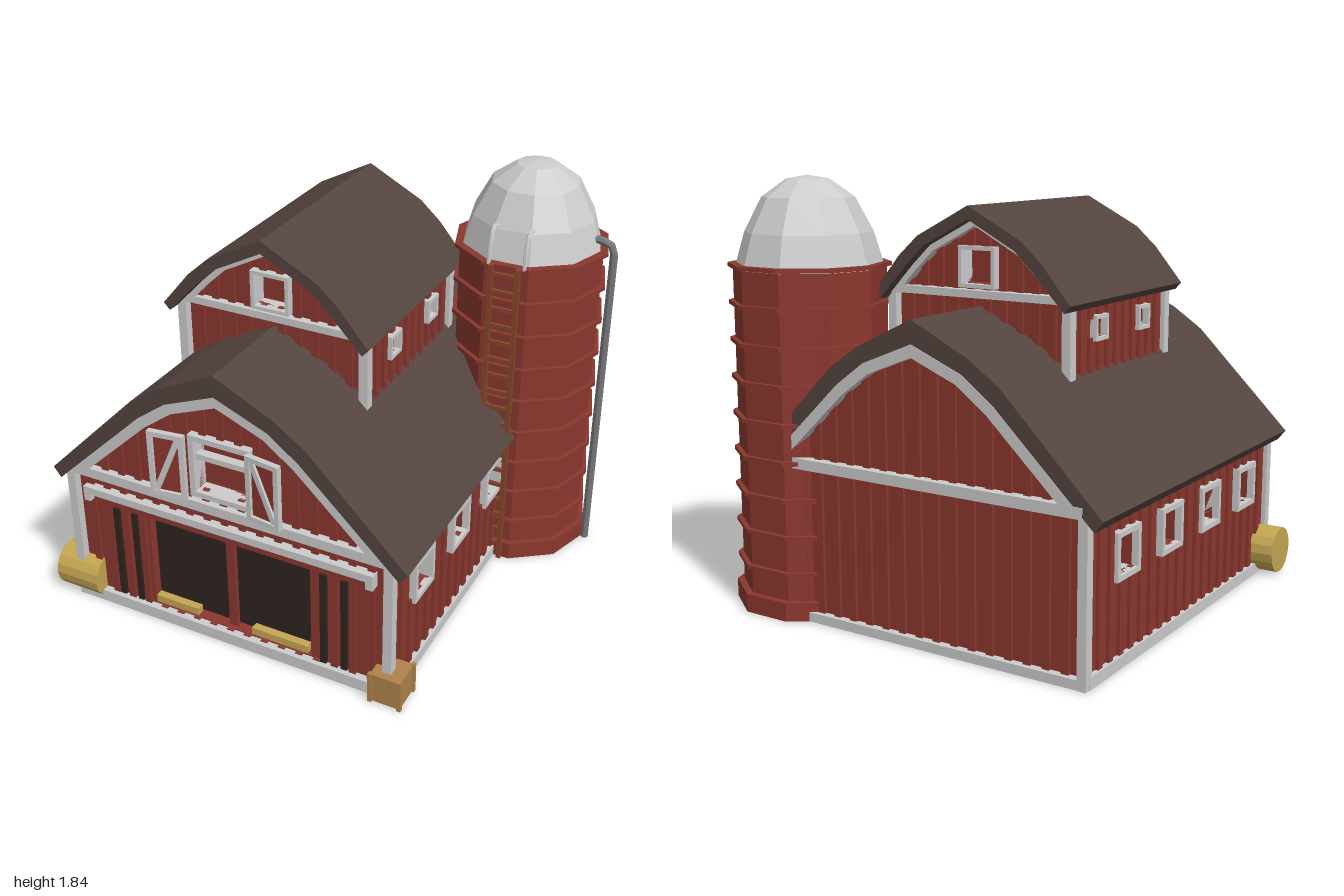
import * as THREE from 'three';

const mat = (color) => new THREE.MeshStandardMaterial({ color, flatShading: true, side: THREE.DoubleSide });
const RED = mat(0x8a372e), ROOF = mat(0x54443f), TRIM = mat(0xcccccc), DARK = mat(0x2f241f);
const HAY = mat(0xc4a552), WOOD = mat(0xb0824c), RUST = mat(0x85452b), PIPE = mat(0x77777a);

function add(parent, name, geo, material, x = 0, y = 0, z = 0) {
  const m = new THREE.Mesh(geo, material);
  m.name = name;
  m.position.set(x, y, z);
  parent.add(m);
  return m;
}

function group(parent, name) {
  const g = new THREE.Group();
  g.name = name;
  parent.add(g);
  return g;
}

// box given by its limits
const box = (parent, name, material, x0, x1, y0, y1, z0, z1) =>
  add(parent, name, new THREE.BoxGeometry(x1 - x0, y1 - y0, z1 - z0), material,
    (x0 + x1) / 2, (y0 + y1) / 2, (z0 + z1) / 2);

const rectPts = ([x0, x1, y0, y1]) => [[x0, y0], [x1, y0], [x1, y1], [x0, y1]];
const vecs = (pts) => pts.map(([x, y]) => new THREE.Vector2(x, y));

// flat outline with rectangular holes, extruded from z0 to z1
function slab(parent, name, material, pts, z0, z1, holes = []) {
  const shape = new THREE.Shape(vecs(pts));
  holes.forEach((h) => shape.holes.push(new THREE.Path(vecs(rectPts(h)))));
  return add(parent, name, new THREE.ExtrudeGeometry(shape, { depth: z1 - z0, bevelEnabled: false }), material, 0, 0, z0);
}

// half profile (centre outwards) made into a full line from left to right
const mirrorLine = (half) => [...half.slice(1).reverse().map(([x, y]) => [-x, y]), ...half];

function heightAt(profile, x) {
  const a = Math.abs(x);
  const i = Math.max(1, profile.findIndex((p) => p[0] >= a));
  const [p, q] = [profile[i - 1], profile[i]];
  return p[1] + (q[1] - p[1]) * (a - p[0]) / (q[0] - p[0]);
}

// raised vertical boards, interrupted by openings
function battens(parent, half, y0, top, z, step, holes) {
  const n = Math.round(2 * half / step);
  for (let i = 1; i < n; i++) {
    const x = -half + (2 * half * i) / n;
    let y = y0;
    const cuts = holes.filter((h) => x > h[0] - 0.03 && x < h[1] + 0.03).sort((a, b) => a[2] - b[2]);
    for (const [a, b] of [...cuts.map((h) => [h[2], h[3]]), [top(x), 0]]) {
      if (a - y > 0.02) box(parent, 'batten', RED, x - 0.016, x + 0.016, y, a, z - 0.01, z + 0.014);
      y = b;
    }
  }
}

function windowFrame(parent, [x0, x1, y0, y1], z, w) {
  slab(parent, 'windowFrame', TRIM, rectPts([x0 - w, x1 + w, y0 - w, y1 + w]), z - 0.05, z + 0.03, [[x0, x1, y0, y1]]);
}

// gambrel-roofed block: core, four faced walls, trim and roof
function block(parent, name, p) {
  const g = group(parent, name);
  const { hw, zw, y0, beam, inner, outer, trim } = p;
  const eave = heightAt(inner, hw);
  const gable = [...inner.filter((q) => q[0] < hw), [hw, eave]];
  const outline = (w) => [[-w, y0], ...mirrorLine([...inner.filter((q) => q[0] < w), [w, heightAt(inner, w)]]), [w, y0]];
  slab(g, 'core', RED, outline(hw - 0.05), -zw + 0.05, zw - 0.05);

  // gable ends
  for (const end of [1, -1]) {
    const f = group(g, end > 0 ? 'frontWall' : 'backWall');
    f.rotation.y = end > 0 ? 0 : Math.PI;
    const holes = end > 0 ? p.frontHoles : p.backHoles;
    const t = zw + (end > 0 ? 0.035 : 0.045);
    slab(f, 'wall', RED, outline(hw), zw - 0.05, zw, holes);
    battens(f, hw, y0, (x) => heightAt(inner, x) - 0.02, zw, p.step, holes);
    const low = gable.map(([x, y], i) => i === 0 ? [0, y - trim * 1.15]
      : i === gable.length - 1 ? [x - trim * 1.4, y] : [x - trim * 0.55, y - trim * 0.9]);
    slab(f, 'gableTrim', TRIM, [...mirrorLine(gable), ...mirrorLine(low).reverse()], zw, t);
    box(f, 'crossTrim', TRIM, -hw, hw, beam[0], beam[1], zw, t);
  }

  // long sides, drawn facing out
  for (const s of [1, -1]) {
    const f = group(g, s > 0 ? 'leftWall' : 'rightWall');
    f.rotation.y = s * Math.PI / 2;
    const holes = p.sideWindows.map(([z, hz, a, b]) => [-s * z - hz, -s * z + hz, a, b]);
    slab(f, 'wall', RED, rectPts([-zw, zw, y0, eave]), hw - 0.05, hw, holes);
    battens(f, zw, y0, () => eave, hw, p.step, holes);
    holes.forEach((h) => windowFrame(f, h, hw, p.frame));
    for (const e of [1, -1]) box(g, 'cornerPost', TRIM, s * hw - 0.02, s * hw + 0.02, y0, eave, e * (zw + 0.015) - 0.022, e * (zw + 0.015) + 0.022);
  }
  slab(g, 'roof', ROOF, [...mirrorLine(outer), ...mirrorLine(inner).reverse()], -p.zr, p.zr);
  return g;
}

function buildBarn(root) {
  const barn = group(root, 'barn');
  barn.position.x = -0.135;
  const door = [-0.385, 0.39, 0.06, 0.525], loft = [-0.115, 0.125, 0.75, 0.99];
  const main = block(barn, 'mainBarn', {
    hw: 0.755, zw: 0.83, y0: 0, zr: 0.872, step: 0.085, beam: [0.655, 0.7], trim: 0.045, frame: 0.022,
    outer: [[0, 1.32], [0.26, 1.195], [0.4, 1.1], [0.84, 0.66]],
    inner: [[0, 1.225], [0.235, 1.13], [0.37, 1.03], [0.805, 0.615]],
    frontHoles: [door, loft], backHoles: [],
    sideWindows: [0.57, 0.19, -0.18, -0.555].map((z) => [z, 0.072, 0.38, 0.53]),
  });
  // base boards
  box(main, 'plinth', TRIM, -0.775, 0.775, 0, 0.055, 0.8, 0.865);
  box(main, 'plinth', TRIM, -0.775, 0.775, 0, 0.04, -0.865, -0.8);
  for (const s of [1, -1]) box(main, 'plinth', TRIM, s * 0.76 - 0.018, s * 0.76 + 0.018, 0, 0.05, -0.84, 0.84);

  // doorway with track, posts and hay
  for (const s of [1, -1]) {
    box(main, 'barnDoor', DARK, s * 0.2 - 0.19, s * 0.2 + 0.19, 0.07, 0.52, 0.775, 0.79);
    box(main, 'hayLitter', HAY, s * 0.27 - 0.17, s * 0.27 + 0.1, 0.05, 0.095, 0.79, 0.825);
    for (const x of [0.455, 0.55]) box(main, 'doorGap', DARK, s * x - 0.014, s * x + 0.014, 0.06, 0.515, 0.8, 0.847);
    box(main, 'trackBracket', TRIM, s * 0.675 - 0.016, s * 0.675 + 0.016, 0.535, 0.605, 0.83, 0.872);
  }
  box(main, 'doorPost', RED, -0.02, 0.02, 0.055, 0.51, 0.785, 0.81);
  box(main, 'doorTrack', TRIM, -0.69, 0.69, 0.57, 0.605, 0.83, 0.872);
  box(main, 'doorHeader', RED, -0.65, 0.65, 0.53, 0.565, 0.825, 0.855);

  // loft opening and its swung shutters
  windowFrame(main, loft, 0.835, 0.025);
  box(main, 'loftRail', TRIM, -0.13, 0.13, 0.9, 0.925, 0.81, 0.85);
  for (const s of [1, -1]) {
    const sh = group(main, 'loftShutter');
    sh.position.set(s * 0.145, 0.865, 0.875);
    sh.rotation.y = -s * 0.13;
    const cx = s * 0.08, w = 0.08, h = 0.15;
    slab(sh, 'shutterFrame', TRIM, rectPts([cx - w, cx + w, -h, h]), -0.005, 0.02, [[cx - w + 0.022, cx + w - 0.022, -h + 0.022, h - 0.022]]);
    box(sh, 'shutterPanel', RED, cx - w + 0.01, cx + w - 0.01, -h + 0.01, h - 0.01, -0.004, 0.006);
    const brace = add(sh, 'shutterBrace', new THREE.BoxGeometry(0.024, 0.27, 0.012), TRIM, cx, 0, 0.011);
    brace.rotation.z = s * 0.4;
  }

  // raised upper storey
  const pane = [-0.072, 0.072, 1.41, 1.548];
  block(barn, 'upperStorey', {
    hw: 0.425, zw: 0.395, y0: 0.95, zr: 0.488, step: 0.075, beam: [1.355, 1.387], trim: 0.025, frame: 0.015,
    outer: [[0, 1.73], [0.25, 1.6], [0.345, 1.515], [0.475, 1.36]],
    inner: [[0, 1.675], [0.22, 1.56], [0.31, 1.475], [0.447, 1.33]],
    frontHoles: [pane], backHoles: [pane],
    sideWindows: [0.18, -0.19].map((z) => [z, 0.036, 1.205, 1.28]),
  }).children.filter((c) => /frontWall|backWall/.test(c.name)).forEach((f) => windowFrame(f, pane, 0.4, 0.016));
}

function buildSilo(root) {
  const silo = group(root, 'silo');
  silo.position.set(0.608, 0, -0.585);
  const drum = (name, r, y0, y1, material) => {
    const m = add(silo, name, new THREE.CylinderGeometry(r, r, y1 - y0, 10), material, 0, (y0 + y1) / 2, 0);
    m.rotation.y = Math.PI / 2;
  };
  drum('siloWall', 0.325, 0, 1.455, RED);
  drum('siloBase', 0.355, 0, 0.08, RED);
  for (let i = 0; i < 9; i++) drum('siloBand', 0.346, 0.19 + i * 0.1587, 0.207 + i * 0.1587, RED);
  const profile = [[0.316, 1.455], [0.272, 1.605], [0.195, 1.75], [0.09, 1.825], [0, 1.84]];
  add(silo, 'dome', new THREE.LatheGeometry(vecs(profile), 10), TRIM).rotation.y = Math.PI / 2;

  // drain pipe
  const path = new THREE.CurvePath();
  const v = (x, y) => new THREE.Vector3(x, y, 0);
  path.add(new THREE.LineCurve3(v(0.37, 0), v(0.37, 1.48)));
  path.add(new THREE.QuadraticBezierCurve3(v(0.37, 1.48), v(0.37, 1.53), v(0.28, 1.53)));
  add(silo, 'drainPipe', new THREE.TubeGeometry(path, 40, 0.018, 8), PIPE);

  // ladder with grab rails on the dome
  const ladder = group(silo, 'ladder');
  ladder.position.set(0.005, 0, 0.345);
  for (const s of [1, -1]) {
    box(ladder, 'ladderRail', RUST, s * 0.06 - 0.01, s * 0.06 + 0.01, 0, 1.48, -0.012, 0.012);
    const rail = new THREE.CatmullRomCurve3([[1.47, -0.02], [1.55, -0.03], [1.62, -0.06], [1.62, -0.1]]
      .map(([y, z]) => new THREE.Vector3(s * 0.08, y, z)));
    add(ladder, 'grabRail', new THREE.TubeGeometry(rail, 10, 0.009, 6), TRIM);
  }
  for (let y = 0.08; y < 1.47; y += 0.08) box(ladder, 'rung', RUST, -0.06, 0.06, y - 0.008, y + 0.008, -0.008, 0.008);
}

export function createModel() {
  const root = new THREE.Group();
  root.name = 'farmBarn';
  buildBarn(root);
  buildSilo(root);

  // round bale and crate by the front corners
  add(root, 'hayBale', new THREE.CylinderGeometry(0.105, 0.105, 0.215, 16), HAY, -0.8925, 0.11, 0.8).rotation.z = Math.PI / 2;
  const crate = group(root, 'crate');
  box(crate, 'crateBody', WOOD, 0.56, 0.695, 0.005, 0.14, 0.765, 0.9);
  for (const x of [0.562, 0.693]) for (const z of [0.767, 0.898]) box(crate, 'crateCorner', WOOD, x - 0.009, x + 0.009, 0, 0.145, z - 0.009, z + 0.009);
  return root;
}
